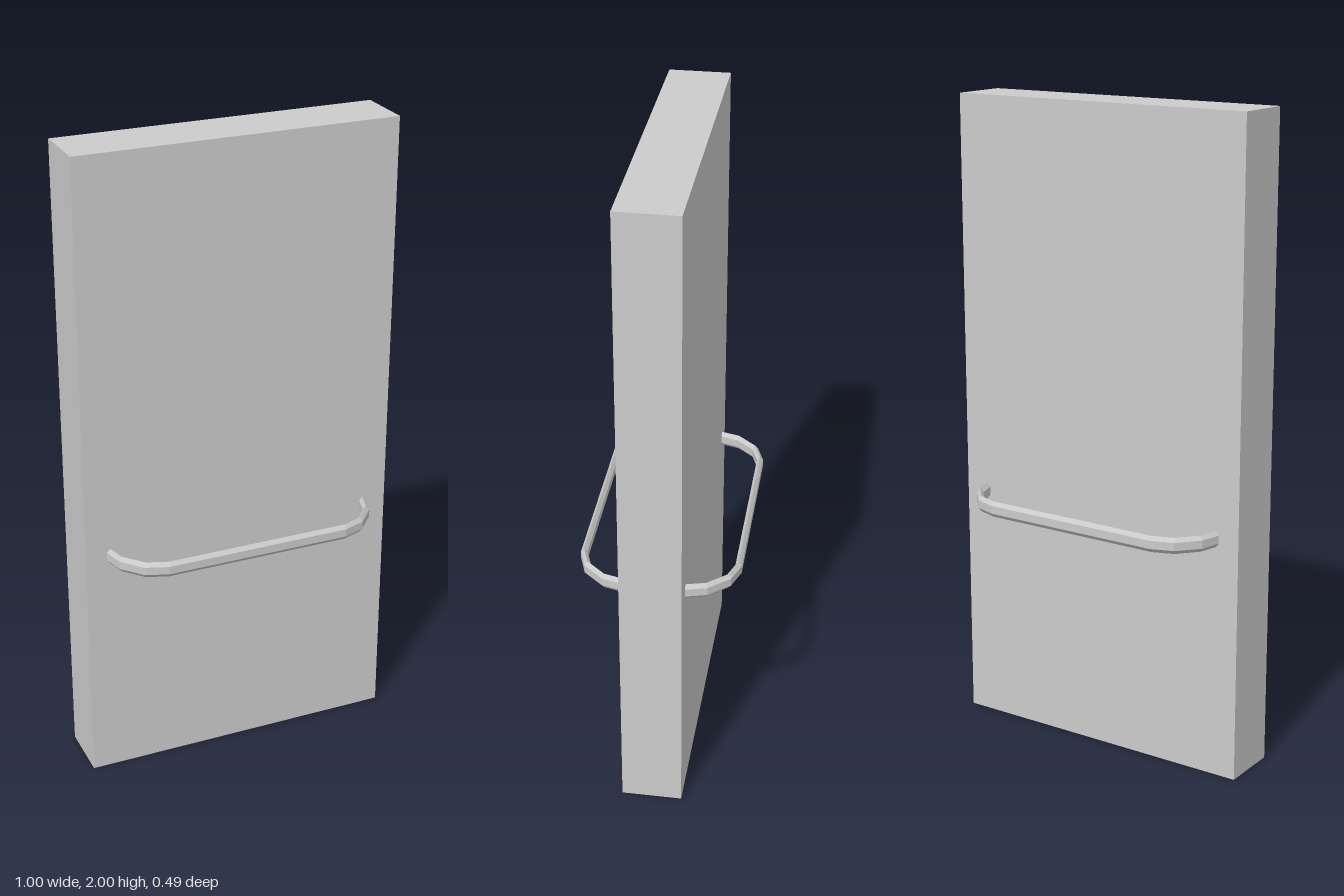
import * as THREE from 'three';

const material = new THREE.MeshStandardMaterial({ color: 0xcccccc, flatShading: true });

// Sweep a tall hexagonal section along a plan path of [x, z] points, with mitred corners
function sweepBar(path, halfWidth, halfHeight) {
  const sides = 6, positions = [], index = [];
  const pts = path.map(([x, z]) => new THREE.Vector2(x, z));
  pts.forEach((p, i) => {
    const a = p.clone().sub(pts[Math.max(i - 1, 0)]).normalize();
    const b = pts[Math.min(i + 1, pts.length - 1)].clone().sub(p).normalize();
    const dir = a.clone().add(b).normalize();
    const mitre = 1 / dir.dot(i ? a : b);
    for (let s = 0; s < sides; s++) {
      const t = (s / sides) * Math.PI * 2;
      const off = (Math.sin(t) / Math.sin(Math.PI / 3)) * halfWidth * mitre;
      positions.push(p.x + dir.y * off, Math.cos(t) * halfHeight, p.y - dir.x * off);
    }
  });
  for (let i = 0; i < pts.length - 1; i++) {
    for (let s = 0; s < sides; s++) {
      const a = i * sides + s, b = i * sides + (s + 1) % sides;
      index.push(a, a + sides, b, b, a + sides, b + sides);
    }
  }
  // End caps
  const last = (pts.length - 1) * sides;
  for (let s = 1; s < sides - 1; s++) {
    index.push(0, s, s + 1, last, last + s + 1, last + s);
  }
  const geometry = new THREE.BufferGeometry();
  geometry.setAttribute('position', new THREE.Float32BufferAttribute(positions, 3));
  geometry.setIndex(index);
  geometry.computeVertexNormals();
  return geometry;
}

export function createModel() {
  const group = new THREE.Group();
  group.name = 'door';

  // Door slab
  const panel = new THREE.Mesh(new THREE.BoxGeometry(1, 2, 0.186), material);
  panel.name = 'doorPanel';
  panel.position.y = 1;
  group.add(panel);

  // Curved push bar on each face
  const half = [[0.425, 0.085], [0.407, 0.152], [0.354, 0.212], [0.29, 0.2345]];
  const path = [...half.map(([x, z]) => [-x, z]), ...half.slice().reverse()];
  const barGeometry = sweepBar(path, 0.01, 0.025);
  ['frontBar', 'backBar'].forEach((name, i) => {
    const bar = new THREE.Mesh(barGeometry, material);
    bar.name = name;
    bar.position.y = 0.754;
    bar.rotation.y = i * Math.PI;
    group.add(bar);
  });

  return group;
}
